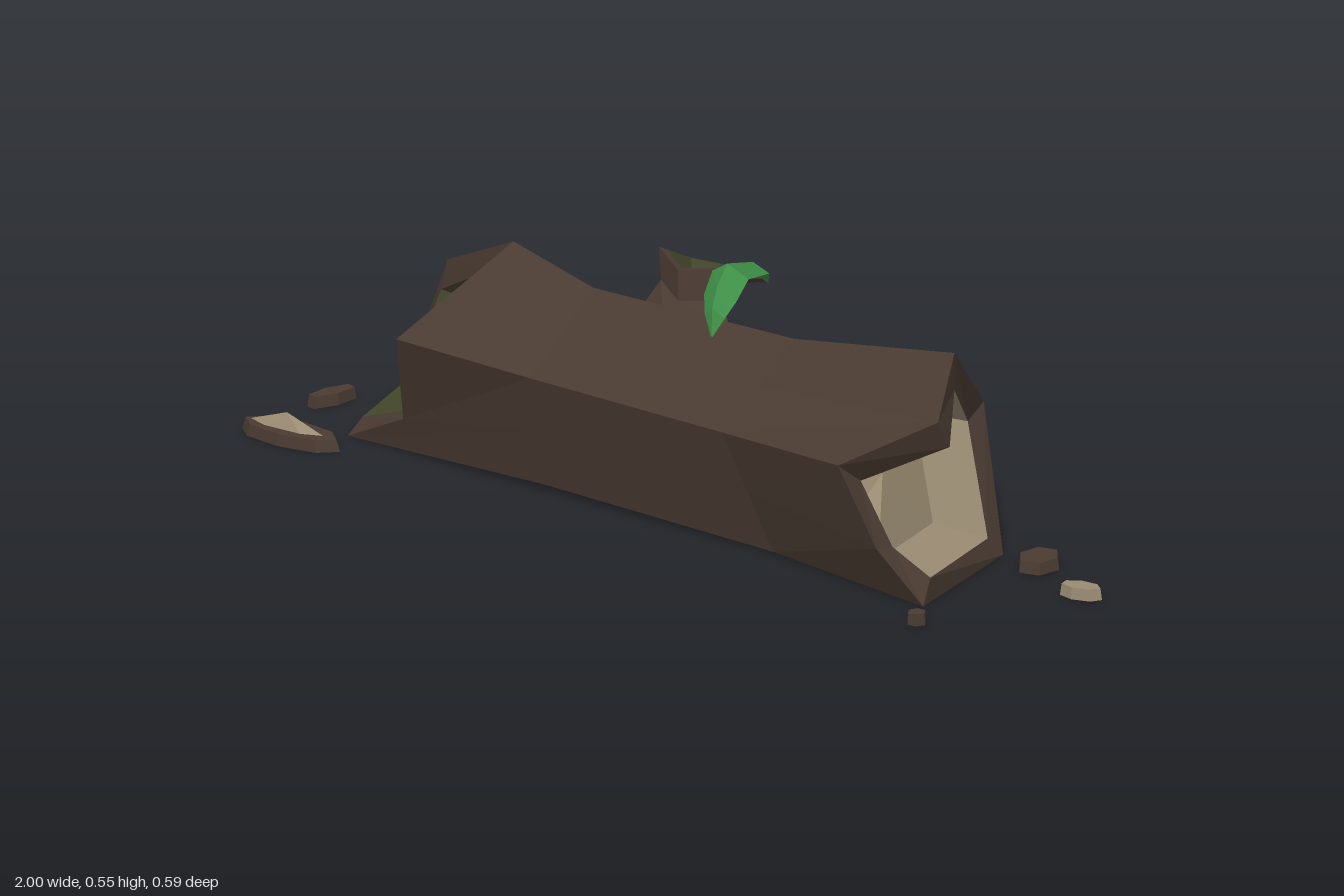
import * as THREE from 'three';

const mat = (name, color) => {
  const m = new THREE.MeshStandardMaterial({ color, flatShading: true });
  m.name = name;
  return m;
};

// Skin a row of rings; rings run counter-clockwise seen from the last one.
function loft(rings, capStart = false, capEnd = false) {
  const out = [];
  const tri = (a, b, c) => out.push(...a, ...b, ...c);
  const n = rings[0].length;
  for (let r = 0; r + 1 < rings.length; r++) {
    const a = rings[r], b = rings[r + 1];
    for (let i = 0; i < n; i++) {
      const j = (i + 1) % n;
      tri(a[i], a[j], b[i]);
      tri(a[j], b[j], b[i]);
    }
  }
  const cap = (ring, flip) => {
    const c = centre(ring);
    ring.forEach((p, i) => {
      const q = ring[(i + 1) % n];
      flip ? tri(c, q, p) : tri(c, p, q);
    });
  };
  if (capStart) cap(rings[0], true);
  if (capEnd) cap(rings[rings.length - 1], false);
  const g = new THREE.BufferGeometry();
  g.setAttribute('position', new THREE.Float32BufferAttribute(out, 3));
  g.computeVertexNormals();
  return g;
}

const centre = (ring) => [0, 1, 2].map((k) => ring.reduce((s, p) => s + p[k], 0) / ring.length);
const mix = (a, b, t = 0.5) => a.map((v, k) => v + (b[k] - v) * t);
const shrink = (ring, s, d = [0, 0, 0]) => {
  const c = centre(ring);
  return ring.map((p) => mix(c, p, s).map((v, k) => v + d[k]));
};

// Log section: top, front shoulder, front foot, back foot, back shoulder, plus two splits
const section = (t, f, fb, bb, b, splitTop = mix(t, f), splitLow = mix(f, fb)) =>
  [t, splitTop, f, splitLow, fb, bb, b];

export function createModel() {
  const bark = mat('bark', 0x4a3b32);
  const wood = mat('paleWood', 0x9b8c72);
  const moss = mat('moss', 0x42462a);
  const leafGreen = mat('leafGreen', 0x3f9048);
  const model = new THREE.Group();
  model.name = 'fallenLog';
  const add = (name, geo, material, parent = model) => {
    const m = new THREE.Mesh(geo, material);
    m.name = name;
    parent.add(m);
    return m;
  };

  // Log body
  const leftEnd = section([-0.48, 0.45, -0.07], [-0.6, 0.285, 0.17], [-0.8, 0, 0.06],
    [-0.865, 0, -0.22], [-0.81, 0.27, -0.3], undefined, [-0.64, 0.08, 0.09]);
  const midA = section([-0.27, 0.4, -0.055], [-0.28, 0.265, 0.152], [-0.29, 0.015, 0.09],
    [-0.29, 0.015, -0.175], [-0.28, 0.25, -0.237]);
  const midB = section([0.25, 0.41, -0.03], [0.22, 0.265, 0.18], [0.3, 0.005, 0.115],
    [0.3, 0.005, -0.16], [0.34, 0.255, -0.23]);
  const rightEnd = section([0.67, 0.48, 0], [0.57, 0.295, 0.265], [0.725, 0, 0.185],
    [0.68, 0, -0.155], [0.56, 0.275, -0.255], [0.73, 0.385, 0.14], [0.64, 0.12, 0.23]);
  const leftRim = section([-0.53, 0.38, -0.07], [-0.625, 0.265, 0.12], [-0.785, 0.035, 0.03],
    [-0.83, 0.04, -0.185], [-0.79, 0.225, -0.25], undefined, [-0.66, 0.085, 0.06]);
  const rightRim = section([0.67, 0.4, 0], [0.58, 0.245, 0.2], [0.725, 0.055, 0.16],
    [0.67, 0.045, -0.115], [0.57, 0.255, -0.185], [0.73, 0.32, 0.1], [0.645, 0.11, 0.18]);
  add('logBark', loft([leftRim, leftEnd, midA, midB, rightEnd, rightRim]), bark);

  // Hollows at both ends
  const leftDeep = shrink(leftRim, 0.9, [0.17, 0, 0]);
  add('leftHollowMoss', loft([leftDeep, leftRim]), moss);
  add('leftHollowWood', loft([leftDeep], true), wood);
  const rightDeep = shrink(rightRim, 0.95, [-0.13, 0, 0]);
  add('rightHollowWood', loft([rightRim, rightDeep], false, true), wood);

  // Broken branch stub at the back
  const stubBase = [[-0.1, 0.37, -0.06], [0, 0.33, -0.16], [-0.08, 0.28, -0.235],
    [-0.2, 0.28, -0.23], [-0.2, 0.34, -0.1]];
  const stubTip = [[-0.12, 0.445, -0.14], [-0.06, 0.435, -0.22], [-0.11, 0.41, -0.3],
    [-0.19, 0.415, -0.28], [-0.2, 0.465, -0.185]];
  const stubRim = shrink(stubTip, 0.78);
  const stubDeep = shrink(stubRim, 0.9, [0.01, -0.05, 0.02]);
  add('branchStub', loft([stubBase, shrink(stubTip, 0.9, [0.01, -0.06, 0.02]), stubTip, stubRim]), bark);
  add('stubHollowMoss', loft([stubRim, stubDeep]), moss);
  add('stubHollowWood', loft([stubDeep], false, true), wood);

  // Twig
  const twig = new THREE.CurvePath();
  const pts = [[-0.04, 0.37, -0.16], [0, 0.44, -0.165], [0.04, 0.455, -0.17], [0.08, 0.465, -0.165]]
    .map((p) => new THREE.Vector3(...p));
  for (let i = 0; i < 3; i++) twig.add(new THREE.LineCurve3(pts[i], pts[i + 1]));
  add('twig', new THREE.TubeGeometry(twig, 6, 0.01, 4), bark);

  // Drooping leaf: x, y, z of the ridge, half width, thickness
  const leaf = [[0.07, 0.462, -0.168, 0.012, 0.01], [0.085, 0.515, -0.115, 0.035, 0.02],
    [0.1, 0.548, -0.005, 0.045, 0.028], [0.11, 0.515, 0.045, 0.04, 0.028],
    [0.12, 0.48, 0.075, 0.025, 0.02], [0.127, 0.425, 0.088, 0.002, 0.002]]
    .map(([x, y, z, w, t]) => [[x + w, y - t, z - t * 0.4], [x, y, z],
      [x - w, y - t, z - t * 0.4], [x, y - t * 0.7, z - t * 0.4]]);
  add('leaf', loft(leaf, true, true), leafGreen);

  // Loose chips on the ground: x, z, size x, size z, turn, sides, material
  const chips = [[0.78, -0.14, 0.09, 0.11, 0.2, 6, bark], [0.95, -0.05, 0.095, 0.05, 0.15, 7, wood],
    [0.77, 0.27, 0.042, 0.042, 0, 6, bark], [-0.94, -0.08, 0.045, 0.125, -0.3, 6, bark],
    [-0.88, 0.145, 0.245, 0.095, 0, 8, bark]];
  for (const [x, z, sx, sz, turn, sides, m] of chips) {
    const g = new THREE.CylinderGeometry(0.46, 0.5, 0.025, sides);
    g.rotateY(Math.PI / 2).scale(sx, 1, sz).rotateY(turn).translate(x, 0.0125, z);
    add(m === wood ? 'woodChip' : 'barkChip', g, m);
  }
  const splinter = new THREE.ConeGeometry(0.5, 0.032, 6, 1, true);
  splinter.rotateY(Math.PI / 2).scale(0.18, 1, 0.04).translate(-0.89, 0.041, 0.145);
  add('chipSplinter', splinter, wood);
  return model;
}
